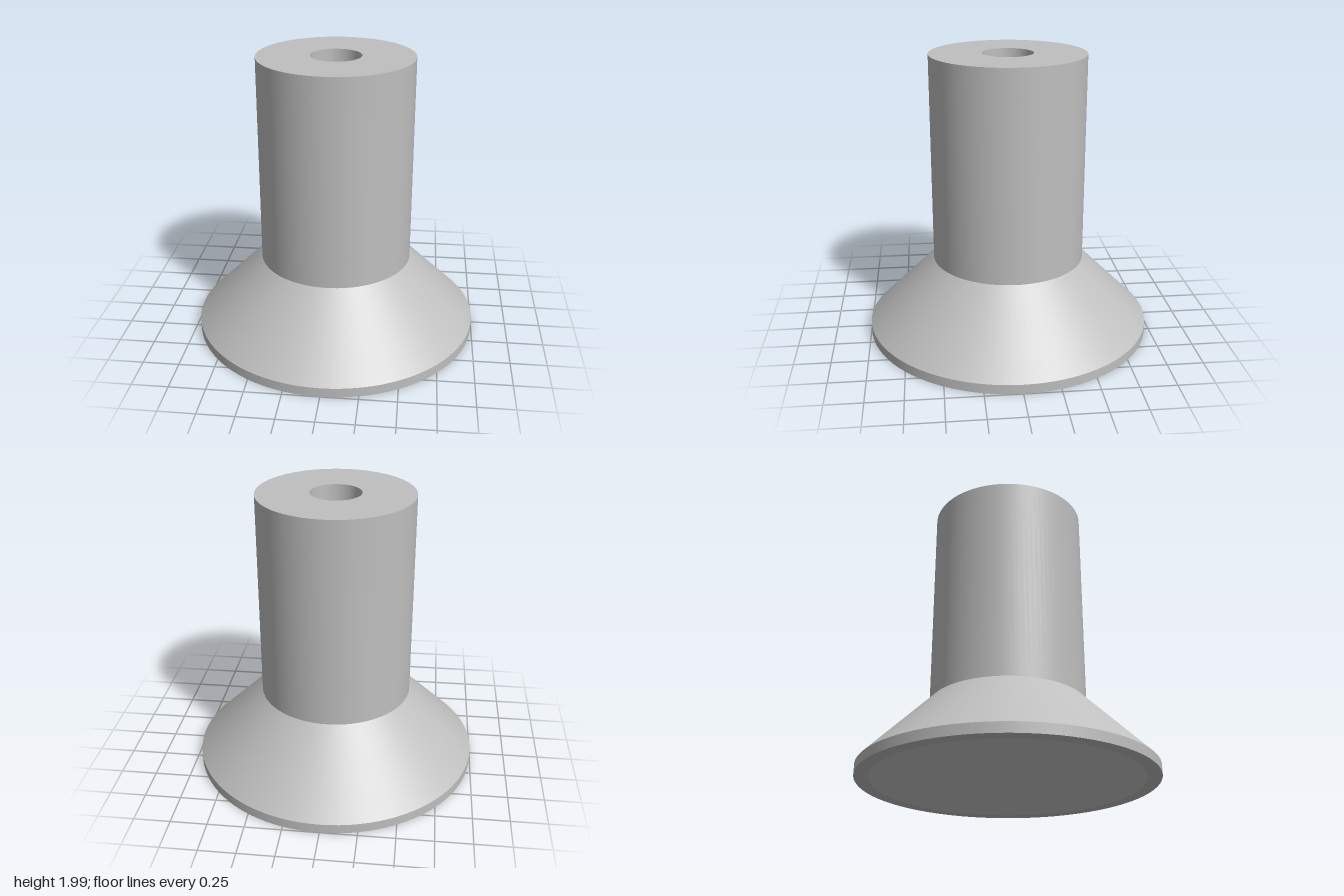
import * as THREE from 'three';

const SEGMENTS = 96;

export function createModel() {
  const model = new THREE.Group();
  model.name = 'flaredSocket';

  const grey = new THREE.MeshStandardMaterial({ color: 0xbfbfbf });
  grey.name = 'grey';

  // One lathe per profile segment keeps the edges sharp and the sides smooth
  const addPart = (name, profile) => {
    const part = new THREE.Group();
    part.name = name;
    for (let i = 0; i < profile.length - 1; i++) {
      const points = [profile[i], profile[i + 1]].map(([r, y]) => new THREE.Vector2(r, y));
      const mesh = new THREE.Mesh(new THREE.LatheGeometry(points, SEGMENTS), grey);
      mesh.name = `${name}Surface${i + 1}`;
      part.add(mesh);
    }
    model.add(part);
  };

  // Flared skirt with a short upright rim
  addPart('skirt', [[1, 0], [1, 0.067], [0.533, 0.535]]);

  // Upright stem and its flat top
  addPart('stem', [[0.533, 0.535], [0.533, 1.987], [0.173, 1.987]]);

  // Blind hole in the top
  addPart('topHole', [[0.173, 1.987], [0.173, 1.2], [0, 1.2]]);

  // Hollow underside: bore ceiling, bore wall, inner cone, bottom edge
  addPart('hollow', [[0, 1.0], [0.453, 1.0], [0.453, 0.453], [0.906, 0], [1, 0]]);

  return model;
}
